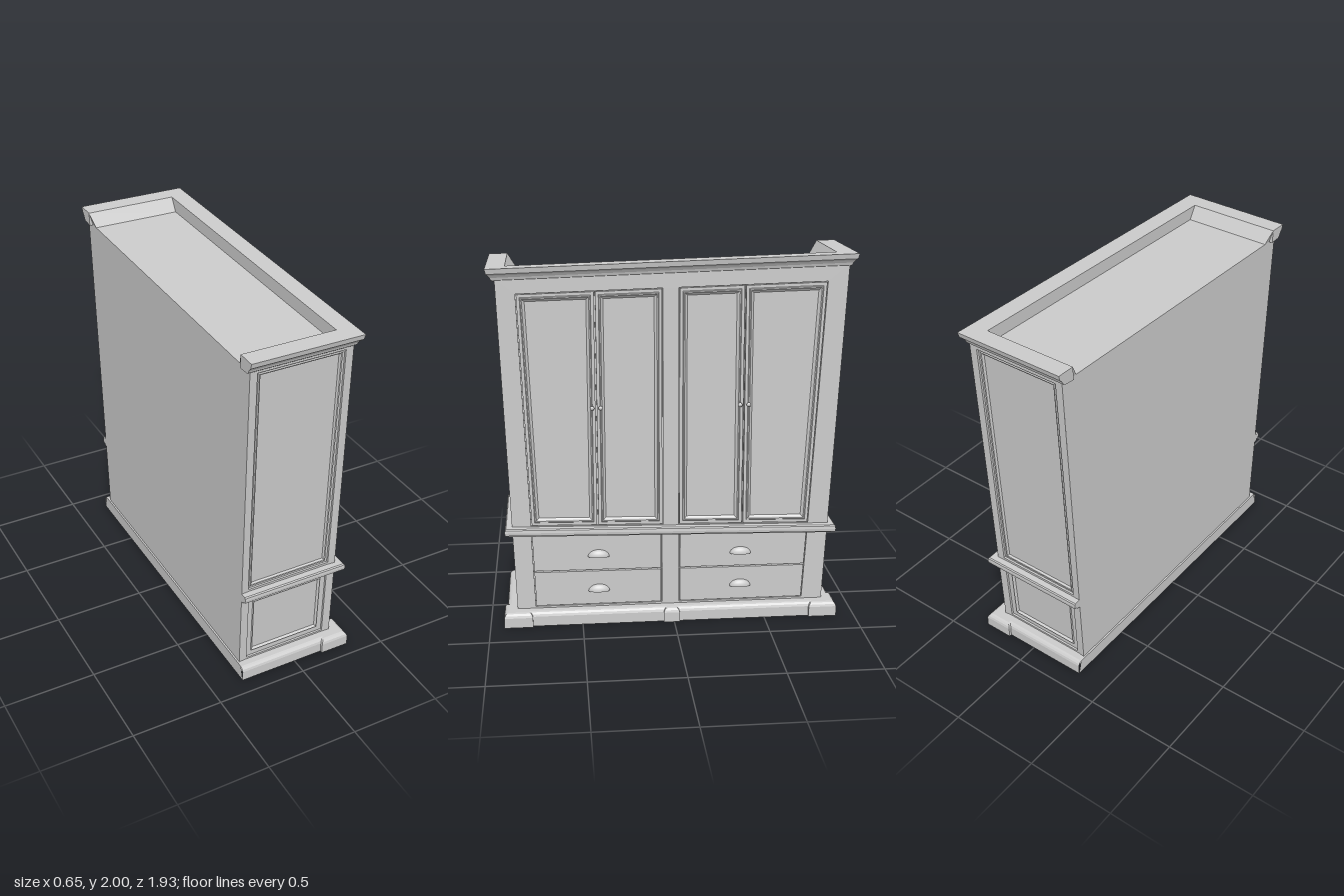
import * as THREE from 'three';

const material = new THREE.MeshStandardMaterial({ color: 0xcccccc, side: THREE.DoubleSide });

// Storybook lean: the outer edges splay with height, the levels tilt along z
function tilt(y) {
  const keys = [[0.2, 0], [0.5, 0.019], [0.54, 0.019], [1.2, 0], [1.9, -0.029]];
  if (y <= keys[0][0]) return 0;
  for (let i = 1; i < keys.length; i++) {
    const [y0, t0] = keys[i - 1], [y1, t1] = keys[i];
    if (y <= y1) return t0 + (t1 - t0) * (y - y0) / (y1 - y0);
  }
  return -0.029;
}

function warp(geometry) {
  const p = geometry.attributes.position;
  for (let i = 0; i < p.count; i++) {
    const y = p.getY(i), rise = Math.max(0, y - 0.08);
    let z = p.getZ(i);
    if (z > 0.6) z += 0.036 * rise;
    else if (z < -0.6) z -= 0.054 * rise;
    p.setXYZ(i, p.getX(i), y + tilt(y) * z, z);
  }
  return geometry;
}

// Flat-shaded mesh from a list of triangle corners
function facets(name, corners) {
  const g = new THREE.BufferGeometry();
  g.setAttribute('position', new THREE.Float32BufferAttribute(corners.flat(), 3));
  warp(g).computeVertexNormals();
  const mesh = new THREE.Mesh(g, material);
  mesh.name = name;
  return mesh;
}

const quad = (a, b, c, d) => [a, b, c, a, c, d];

// Sweeps a profile of [outward offset, y] along a mitred plan path of [x, z]
function sweep(name, path, profile, capped = false) {
  const normals = path.slice(1).map(([x, z], i) => {
    const dx = x - path[i][0], dz = z - path[i][1], l = Math.hypot(dx, dz);
    return [-dz / l, dx / l];
  });
  const rings = path.map(([x, z], i) => {
    const a = normals[Math.max(0, i - 1)], b = normals[Math.min(i, normals.length - 1)];
    const k = 1 + a[0] * b[0] + a[1] * b[1];
    return profile.map(([o, y]) => [x + o * (a[0] + b[0]) / k, y, z + o * (a[1] + b[1]) / k]);
  });
  const out = [];
  for (let i = 1; i < rings.length; i++)
    for (let j = 1; j < profile.length; j++)
      out.push(...quad(rings[i - 1][j - 1], rings[i][j - 1], rings[i][j], rings[i - 1][j]));
  if (capped) {
    const tris = THREE.ShapeUtils.triangulateShape(profile.map(([o, y]) => new THREE.Vector2(o, y)), []);
    for (const ring of [rings[0], rings[rings.length - 1]])
      for (const t of tris) out.push(...t.map(k => ring[k]));
  }
  return facets(name, out);
}

const corners = ([u0, u1, v0, v1], inset = 0) => [
  [u0 + inset, v0 + inset], [u1 - inset, v0 + inset], [u1 - inset, v1 - inset], [u0 + inset, v1 - inset]];

// Wall with rectangular openings; place(u, v, depth) puts it in space
function wall(name, place, outer, openings) {
  const vec = r => corners(r).map(([u, v]) => new THREE.Vector2(u, v));
  const contour = vec(outer), holes = openings.map(r => vec(r).reverse());
  const all = [contour, ...holes].flat();
  const tris = THREE.ShapeUtils.triangulateShape(contour, holes);
  return facets(name, tris.flat().map(k => place(all[k].x, all[k].y, 0)));
}

// Panel of nested rectangles, steps are [inset, depth]; the last one is filled
function panel(name, place, rect, steps) {
  const rings = steps.map(([s, d]) => corners(rect, s).map(([u, v]) => place(u, v, d)));
  const out = [];
  for (let i = 1; i < rings.length; i++)
    for (let k = 0; k < 4; k++) {
      const n = (k + 1) % 4;
      out.push(...quad(rings[i - 1][k], rings[i - 1][n], rings[i][n], rings[i][k]));
    }
  out.push(...quad(...rings[rings.length - 1]));
  return facets(name, out);
}

function smooth(name, geometry, x, y, z) {
  const mesh = new THREE.Mesh(warp(geometry.translate(x, y, z)), material);
  mesh.name = name;
  return mesh;
}

export function createModel() {
  const model = new THREE.Group();
  model.name = 'wardrobe';
  const add = (...parts) => model.add(...parts);

  const L = 0.85, R = -0.825, F = 0.25, B = -0.31;
  const front = (u, v, d) => [F + d, v, u];
  const leftSide = (u, v, d) => [u, v, L + d];
  const rightSide = (u, v, d) => [u, v, R - d];

  // Front with doors above and drawers below
  const doors = [[0.408, 0.75], [0.055, 0.408], [-0.378, -0.03], [-0.717, -0.378]].map(r => [...r, 0.54, 1.833]);
  const drawers = [];
  for (const [a, b] of [[0.062, 0.753], [-0.717, -0.033]])
    drawers.push([a, b, 0.09, 0.287], [a, b, 0.287, 0.485]);
  const bays = [
    [0.055, 0.75, 0.54, 1.833], [-0.717, -0.03, 0.54, 1.833],
    [0.062, 0.753, 0.09, 0.485], [-0.717, -0.033, 0.09, 0.485]];
  add(wall('frontFrame', front, [R, L, 0, 1.92], bays));
  const gap = [[0, 0], [0, -0.012], [0.004, -0.012], [0.004, 0]];
  for (const r of doors)
    add(panel('door', front, r, [...gap, [0.02, 0], [0.024, 0.005], [0.03, 0.005], [0.036, -0.004], [0.044, -0.01]]));
  for (const r of drawers) add(panel('drawer', front, r, gap));

  // Side walls with an upper and a lower framed panel
  const upper = [-0.27, 0.208, 0.55, 1.885], lower = [-0.265, 0.205, 0.09, 0.485];
  for (const [side, place] of [['left', leftSide], ['right', rightSide]]) {
    add(wall(side + 'Wall', place, [B, F, 0, 1.92], [upper, lower]));
    add(panel(side + 'UpperPanel', place, upper,
      [[0, 0], [0, -0.012], [0.01, -0.012], [0.014, -0.006], [0.02, -0.008], [0.026, -0.02]]));
    add(panel(side + 'LowerPanel', place, lower,
      [[0, 0], [0, -0.012], [0.012, -0.012], [0.03, -0.012], [0.034, -0.006], [0.042, -0.02]]));
  }

  // Back and top boards; the underside stays open
  add(facets('back', quad([B, 0, L], [B, 0, R], [B, 1.9, R], [B, 1.9, L])));
  add(facets('top', quad([B, 1.9, L], [F, 1.9, L], [F, 1.9, R], [B, 1.9, R])));

  // Plinth with corner and centre blocks
  const plinth = [
    [-0.32, 0.91], [0.165, 0.91], [0.165, 0.925], [0.325, 0.925], [0.325, 0.77], [0.31, 0.77],
    [0.31, 0.057], [0.325, 0.057], [0.325, -0.03], [0.31, -0.03], [0.31, -0.747], [0.325, -0.747],
    [0.325, -0.9], [0.165, -0.9], [0.165, -0.885], [-0.32, -0.885]];
  add(sweep('plinth', plinth, [[0, 0], [0, 0.055], [-0.004, 0.067], [-0.012, 0.076], [-0.022, 0.08], [-0.076, 0.08]]));
  add(facets('plinthBack', [
    ...quad([-0.32, 0, 0.91], [-0.32, 0, -0.885], [-0.32, 0.08, -0.865], [-0.32, 0.08, 0.89]),
    ...quad([-0.32, 0.08, 0.89], [-0.32, 0.08, -0.865], [B, 0.08, -0.865], [B, 0.08, 0.89])]));

  // Waist moulding
  add(sweep('waistMoulding', [[B, L], [F, L], [F, R], [B, R]],
    [[-0.005, 0.484], [0.02, 0.488], [0.024, 0.497], [0.04, 0.5], [0.042, 0.515], [0.04, 0.53], [0.034, 0.536], [-0.005, 0.537]], true));

  // Cornice around the top, open at the back
  add(sweep('cornice', [[-0.33, 0.85], [0.235, 0.85], [0.235, -0.82], [-0.33, -0.82]],
    [[-0.055, 1.9], [0.01, 1.905], [0.018, 1.912], [0.022, 1.924], [0.03, 1.936], [0.04, 1.945],
      [0.045, 1.972], [-0.055, 1.972], [-0.055, 1.9]], true));
  for (const [z, s] of [[0.795, -1], [-0.765, 1]]) {
    const a = x => [x, 1.972, z], b = x => [x, 1.9, z + s * 0.042];
    add(facets('corniceInnerSlope', [
      ...quad(a(-0.33), b(B), b(0.18), a(0.18)),
      a(-0.33), b(B), [B, 1.9, z]]));
  }

  // Round door knobs
  const knobProfile = [[0.005, 0], [0.005, 0.01], [0.011, 0.014], [0.012, 0.019], [0.008, 0.024], [0, 0.026]]
    .map(([r, h]) => new THREE.Vector2(r, h));
  for (const z of [0.43, 0.385, -0.355, -0.401])
    add(smooth('knob', new THREE.LatheGeometry(knobProfile, 14).rotateZ(-Math.PI / 2), F, 1.205, z));

  // Cup pulls on the drawers
  for (const z of [0.407, -0.37])
    for (const y of [0.365, 0.17])
      add(smooth('cupPull', new THREE.SphereGeometry(1, 18, 8, Math.PI / 2, Math.PI, 0, Math.PI / 2)
        .scale(0.028, 0.038, 0.058), F, y, z));

  return model;
}
